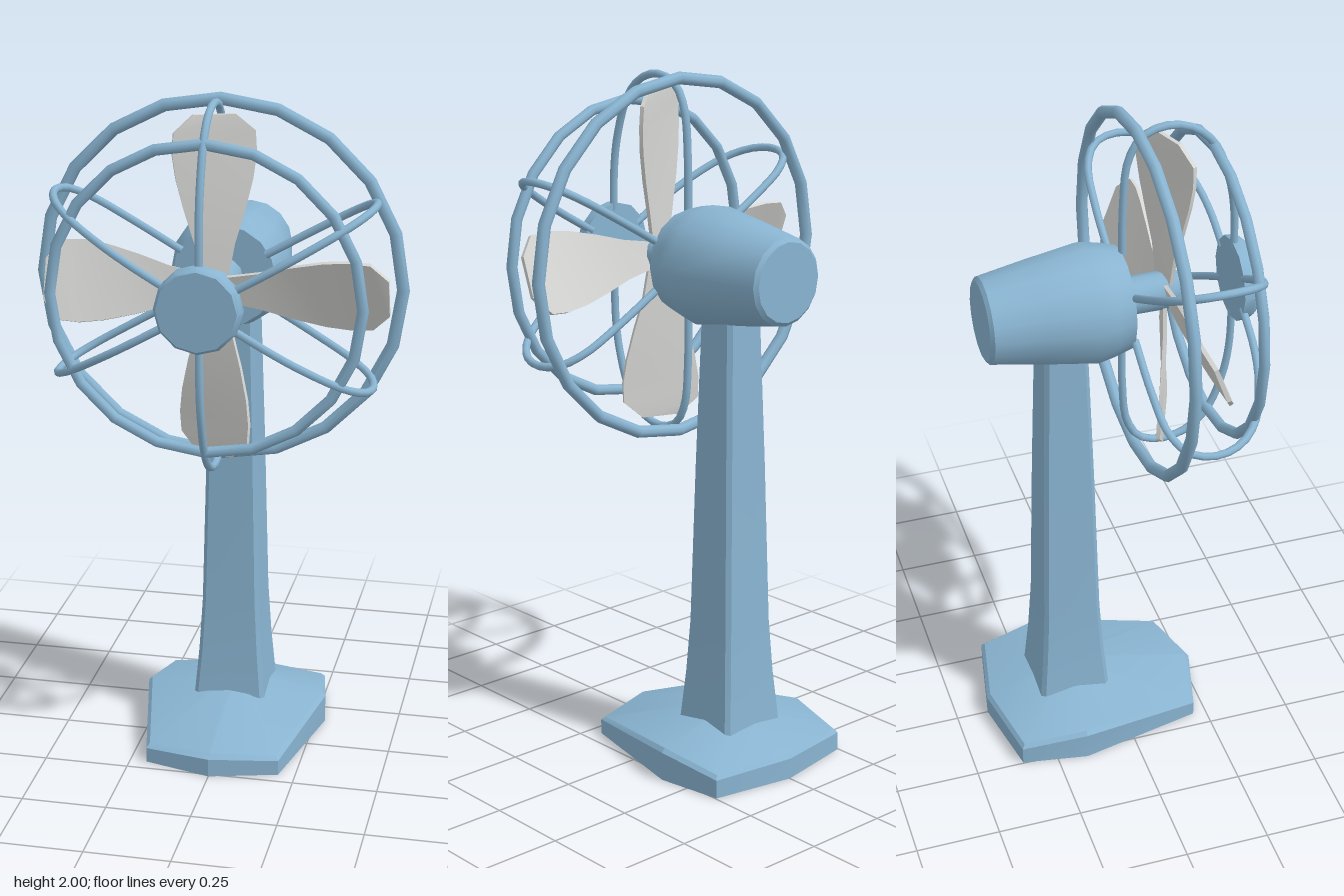
import * as THREE from 'three';
import { toCreasedNormals } from 'three/addons/utils/BufferGeometryUtils.js';

const CENTRE_Y = 1.468;

// Skin a stack of equal-length rings of [x, y, z] points, capped at both ends.
// Rings run +z -> +x -> -z -> -x and are stacked upwards.
function loft(rings) {
  const n = rings[0].length;
  const index = [];
  for (let i = 0; i < rings.length - 1; i++) {
    for (let j = 0; j < n; j++) {
      const a = i * n + j, b = i * n + (j + 1) % n;
      index.push(a, b, b + n, a, b + n, a + n);
    }
  }
  const top = (rings.length - 1) * n;
  for (let j = 1; j < n - 1; j++) {
    index.push(0, j + 1, j, top, top + j, top + j + 1);
  }
  const geo = new THREE.BufferGeometry();
  geo.setAttribute('position', new THREE.Float32BufferAttribute(rings.flat(2), 3));
  geo.setIndex(index);
  return toCreasedNormals(geo, 0.45);
}

// Turned part along z; profile is [radius, z] from back to front.
function turned(profile, segments) {
  const geo = new THREE.LatheGeometry(profile.map(([r, z]) => new THREE.Vector2(r, z)), segments);
  geo.rotateX(Math.PI / 2);
  return toCreasedNormals(geo, 0.65);
}

export function createModel() {
  const model = new THREE.Group();
  model.name = 'deskFan';
  const blue = new THREE.MeshStandardMaterial({ color: 0x89b4d1 });
  blue.name = 'pale blue';
  const grey = new THREE.MeshStandardMaterial({ color: 0xd6d6d4 });
  grey.name = 'light grey';

  const add = (parent, name, geometry, material = blue) => {
    const mesh = new THREE.Mesh(geometry, material);
    mesh.name = name;
    parent.add(mesh);
    return mesh;
  };

  // Base: eight-cornered foot, [x, rim height, z], rising to a low peak
  const half = [[0.2, 0.045, 0.21], [0.28, 0.085, -0.16], [0.247, 0.055, -0.356]];
  const outline = [
    [0, 0.055, 0.262], ...half, [0, 0.062, -0.403],
    ...half.map(([x, y, z]) => [-x, y, z]).reverse(),
  ];
  const MID_Z = -0.145;
  const shrink = (s, height) => outline.map(([x, y, z]) => [x * s, height(y), MID_Z + (z - MID_Z) * s]);
  add(model, 'base', loft([
    shrink(1, () => 0),
    shrink(1, (y) => y),
    shrink(0.96, (y) => y + 0.012),
    shrink(0.08, () => 0.153),
  ]));

  // Column: chamfered square that flares towards the foot
  const square = (y, h) => {
    const k = h - 0.012;
    return [[-k, h], [k, h], [h, k], [h, -k], [k, -h], [-k, -h], [-h, -k], [-h, k]]
      .map(([x, z]) => [x, y, MID_Z + z]);
  };
  add(model, 'column', loft([
    square(0.06, 0.113), square(0.14, 0.106), square(0.26, 0.096), square(0.42, 0.087),
    square(0.9, 0.076), square(1.4, 0.062),
  ]));

  // Head: everything centred on the motor axis
  const head = new THREE.Group();
  head.name = 'head';
  head.position.y = CENTRE_Y;
  model.add(head);

  add(head, 'motorHousing', turned([
    [0, -0.374], [0.113, -0.374], [0.125, -0.364], [0.15, -0.22], [0.173, -0.07],
    [0.163, -0.02], [0.148, 0.032], [0, 0.032],
  ], 16));
  add(head, 'shaft', turned([[0, 0.02], [0.055, 0.02], [0.055, 0.195], [0, 0.195]], 12));
  add(head, 'frontCap', turned([
    [0, 0.355], [0.123, 0.355], [0.121, 0.388], [0.112, 0.399], [0, 0.399],
  ], 12));

  // Guard rings
  const ring = (name, radius, tube, z) => {
    add(head, name, new THREE.TorusGeometry(radius, tube, 8, 20)).position.z = z;
  };
  ring('rearGuardRing', 0.515, 0.018, 0.073);
  ring('frontGuardRing', 0.435, 0.016, 0.294);

  // Guard ribs: six bowed wires from the motor to the front cap, [radius, z]
  const ribPath = new THREE.CatmullRomCurve3([
    [0.14, 0.034], [0.3, 0.036], [0.43, 0.05], [0.497, 0.09], [0.519, 0.16],
    [0.5, 0.235], [0.44, 0.297], [0.32, 0.343], [0.22, 0.359], [0.1, 0.362],
  ].map(([r, z]) => new THREE.Vector3(0, r, z)));
  const ribGeo = new THREE.TubeGeometry(ribPath, 28, 0.0115, 8);
  for (let i = 0; i < 6; i++) {
    add(head, 'guardRib', ribGeo).rotation.z = i * Math.PI / 3;
  }

  // Blades: pitched paddles, [radius, half width, half depth]
  const bladeGeo = loft([
    [0.02, 0.035, 0.008], [0.13, 0.055, 0.013], [0.22, 0.08, 0.025], [0.31, 0.1, 0.037],
    [0.38, 0.108, 0.045], [0.44, 0.104, 0.046], [0.488, 0.055, 0.02],
  ].map(([r, w, d]) => {
    const t = 0.006 / Math.hypot(w, d);
    return [[-1, 1], [1, 1], [1, -1], [-1, -1]]
      .map(([u, n]) => [u * w + n * d * t, r, -u * d + n * w * t]);
  }));
  for (let i = 0; i < 4; i++) {
    const blade = add(head, 'blade', bladeGeo, grey);
    blade.rotation.z = i * Math.PI / 2;
    blade.position.z = 0.157;
  }

  return model;
}
